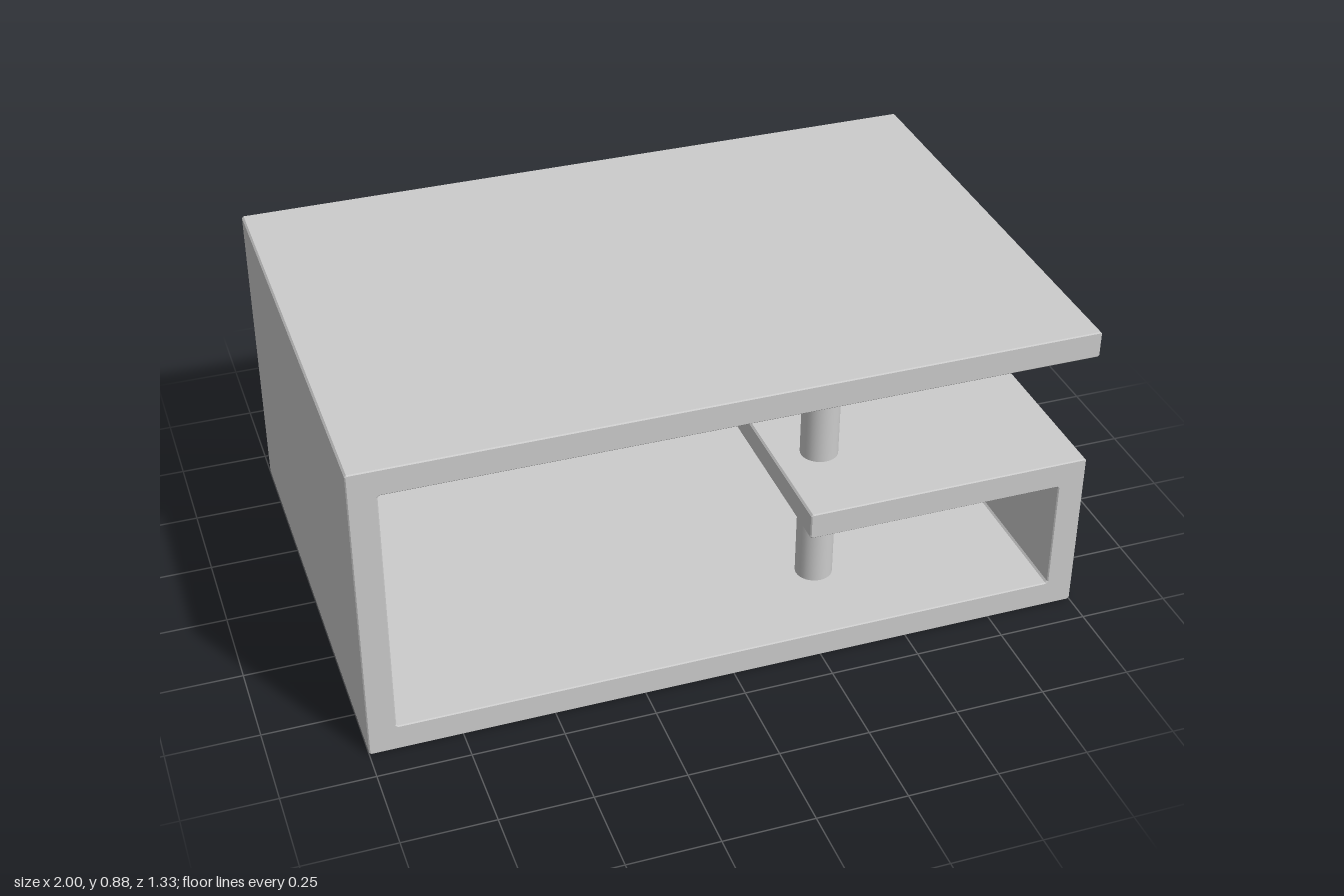
import * as THREE from 'three';

const material = new THREE.MeshStandardMaterial({ color: 0xcccccc });
const T = 0.076;              // board thickness
const DEPTH = 1.333;
const LEVELS = [0, 0.402, 0.803]; // undersides of floor, shelf and top
const CUT = 0.005;            // tiny chamfer on every edge

// Closed outline with each corner cut by a small chamfer
function chamferedShape(corners, cut) {
  const pts = corners.map(([x, y]) => new THREE.Vector2(x, y));
  const outline = [];
  pts.forEach((p, i) => {
    const prev = pts[(i + pts.length - 1) % pts.length];
    const next = pts[(i + 1) % pts.length];
    for (const q of [prev, next]) {
      outline.push(p.clone().add(q.clone().sub(p).setLength(cut)));
    }
  });
  return new THREE.Shape(outline);
}

export function createModel() {
  const group = new THREE.Group();
  group.name = 'coffeeTable';
  const [, shelfY, topY] = LEVELS;

  // One continuous folded board: top, side, floor, short side, inner shelf
  const profile = chamferedShape([
    [-1, 0], [1, 0], [1, shelfY + T], [0.204, shelfY + T],
    [0.204, shelfY], [1 - T, shelfY], [1 - T, T], [-1 + T, T],
    [-1 + T, topY], [1, topY], [1, topY + T], [-1, topY + T],
  ], CUT);
  const bevel = 0.003;
  const boardGeometry = new THREE.ExtrudeGeometry(profile, {
    depth: DEPTH - 2 * bevel,
    bevelEnabled: true,
    bevelThickness: bevel,
    bevelSize: bevel,
    bevelOffset: -bevel,
    bevelSegments: 1,
  });
  boardGeometry.translate(0, 0, -DEPTH / 2 + bevel);
  const board = new THREE.Mesh(boardGeometry, material);
  board.name = 'foldedBoard';
  group.add(board);

  // Round posts between the levels, front and back
  for (const [name, z] of [['front', 0.4], ['back', -0.4]]) {
    for (let i = 0; i < 2; i++) {
      const bottom = LEVELS[i] + T;
      const height = LEVELS[i + 1] - bottom;
      const post = new THREE.Mesh(new THREE.CylinderGeometry(0.052, 0.052, height, 32), material);
      post.position.set(0.333, bottom + height / 2, z);
      post.name = name + (i ? 'UpperPost' : 'LowerPost');
      group.add(post);
    }
  }
  return group;
}
